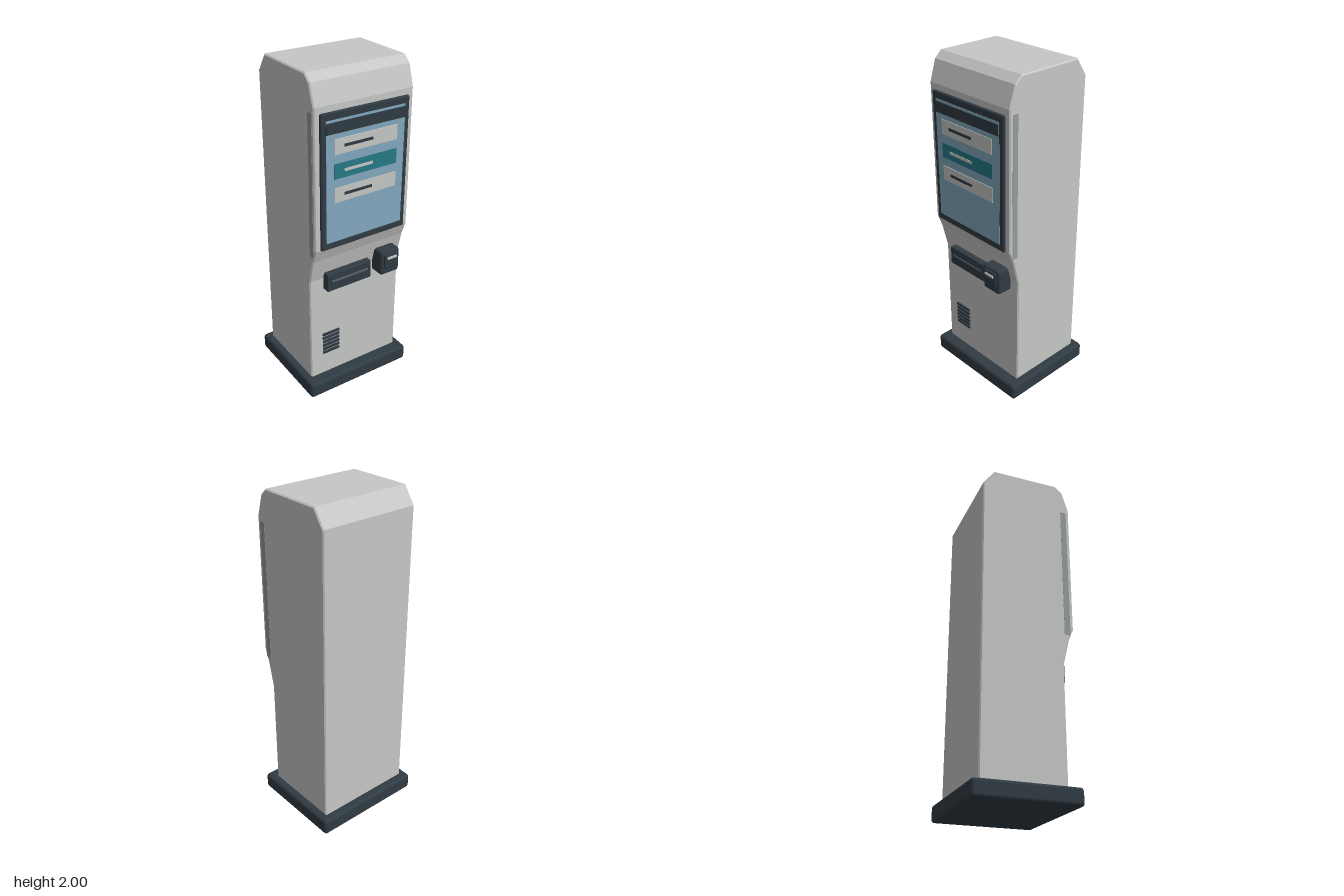
import * as THREE from 'three';
import { RoundedBoxGeometry } from 'three/addons/geometries/RoundedBoxGeometry.js';

const material = (name, color) => {
  const m = new THREE.MeshStandardMaterial({ color });
  m.name = name;
  return m;
};

export function createModel() {
  const kiosk = new THREE.Group();
  kiosk.name = 'kiosk';
  const casing = material('casing grey', 0xc6c8c6);
  const trim = material('side trim grey', 0x959a9b);
  const dark = material('dark slate', 0x303b43);
  const glass = material('screen blue', 0x84a8be);
  const teal = material('highlight teal', 0x267a88);
  const slotGrey = material('slot grey', 0x59666c);

  const add = (name, geometry, mat, parent = kiosk) => {
    const mesh = new THREE.Mesh(geometry, mat);
    mesh.name = name;
    parent.add(mesh);
    return mesh;
  };
  // Box given by its extents on each axis; a radius rounds its edges
  const block = (name, mat, [x0, x1], [y0, y1], [z0, z1], radius = 0, parent = kiosk) => {
    const size = [x1 - x0, y1 - y0, z1 - z0];
    const geometry = radius
      ? new RoundedBoxGeometry(...size, 2, radius)
      : new THREE.BoxGeometry(...size);
    const mesh = add(name, geometry, mat, parent);
    mesh.position.set((x0 + x1) / 2, (y0 + y1) / 2, (z0 + z1) / 2);
    return mesh;
  };
  const group = (name) => {
    const g = new THREE.Group();
    g.name = name;
    kiosk.add(g);
    return g;
  };

  // Plinth
  block('base', dark, [-0.355, 0.355], [0, 0.1], [-0.325, 0.288], 0.02);

  // Casing: side profile (z, y) extruded across the width with a small edge bevel
  const profile = [
    [-0.275, 0.1], [0.216, 0.1], [0.216, 0.79], [0.252, 0.94], [0.282, 1.02],
    [0.282, 1.84], [0.244, 1.96], [0.2, 2], [-0.205, 2], [-0.275, 1.9],
  ].map(([z, y]) => new THREE.Vector2(z, y));
  const bevel = 0.007;
  const width = 0.626;
  const body = new THREE.ExtrudeGeometry(new THREE.Shape(profile), {
    depth: width - 2 * bevel, bevelEnabled: true, bevelSize: bevel,
    bevelThickness: bevel, bevelOffset: -bevel, bevelSegments: 1,
  });
  body.translate(0, 0, bevel - width / 2);
  body.rotateY(-Math.PI / 2);
  add('casing', body, casing);

  // Slim vertical trim on both flanks
  for (const side of [-1, 1]) {
    const strip = block('sideTrim', trim, [-0.001, 0.001], [0.975, 1.81], [0.226, 0.262]);
    strip.position.x = side * 0.313;
  }

  // Touch screen with header and three menu buttons
  const display = group('display');
  block('bezel', dark, [-0.28, 0.28], [1.02, 1.805], [0.27, 0.296], 0.008, display);
  block('screen', glass, [-0.25, 0.25], [1.062, 1.765], [0.292, 0.299], 0, display);
  block('screenHeader', dark, [-0.25, 0.25], [1.69, 1.752], [0.296, 0.301], 0, display);
  [[1.618, casing, dark], [1.48, teal, casing], [1.343, casing, dark]].forEach(([y, face, line]) => {
    block('menuButton', face, [-0.202, 0.2], [y - 0.043, y + 0.043], [0.296, 0.303], 0, display);
    block('menuLine', line, [-0.14, 0.04], [y - 0.008, y + 0.008], [0.3, 0.306], 0, display);
  });

  // Ticket printer
  const printer = group('ticketPrinter');
  block('printerHousing', dark, [-0.222, 0.08], [0.716, 0.832], [0.2, 0.264], 0.008, printer);
  block('printerRecess', dark, [-0.2, 0.058], [0.765, 0.808], [0.26, 0.267], 0, printer);
  block('printerSlot', slotGrey, [-0.196, 0.054], [0.778, 0.79], [0.264, 0.27], 0, printer);

  // Card reader
  const reader = group('cardReader');
  block('readerHousing', dark, [0.12, 0.253], [0.73, 0.885], [0.205, 0.308], 0.016, reader);
  block('readerFace', dark, [0.14, 0.235], [0.778, 0.868], [0.3, 0.319], 0.008, reader);
  block('readerLight', casing, [0.154, 0.221], [0.838, 0.852], [0.316, 0.326], 0, reader);

  // Speaker louvres
  for (let i = 0; i < 6; i++) {
    const y = 0.256 + i * 0.0264;
    block('vent', dark, [-0.23, -0.115], [y - 0.0075, y + 0.0075], [0.21, 0.225]);
  }
  return kiosk;
}
